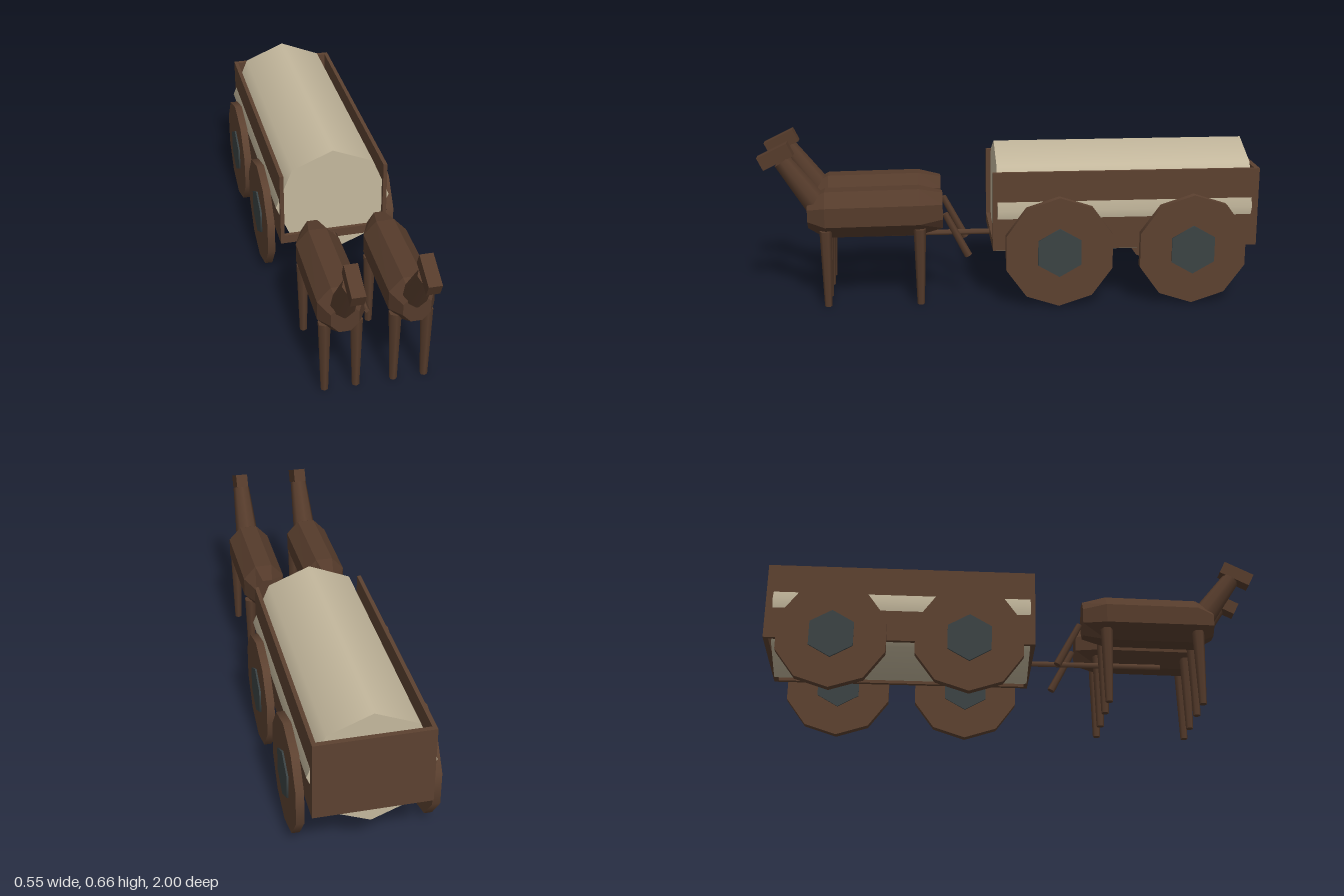
import * as THREE from 'three';

const wood = new THREE.MeshStandardMaterial({ name: 'brown wood', color: 0x5c4130 });
const hide = new THREE.MeshStandardMaterial({ name: 'dark brown hide', color: 0x553b2b });
const hideFlat = hide; // body uses unshared vertices, so it is faceted
const canvas = new THREE.MeshStandardMaterial({ name: 'canvas', color: 0xc4b89d });
const iron = new THREE.MeshStandardMaterial({ name: 'iron', color: 0x3b4344 });

function add(parent, name, geometry, material, x = 0, y = 0, z = 0) {
  const mesh = new THREE.Mesh(geometry, material);
  mesh.name = name;
  mesh.position.set(x, y, z);
  parent.add(mesh);
  return mesh;
}

// Tapered rod between two points in the x = 0 plane, given as [y, z]
function rod(parent, name, material, [y0, z0], [y1, z1], r0, r1, sides) {
  const a = new THREE.Vector3(0, y0, z0), b = new THREE.Vector3(0, y1, z1);
  const dir = b.clone().sub(a);
  const mesh = add(parent, name, new THREE.CylinderGeometry(r1, r0, dir.length(), sides), material);
  mesh.position.copy(a).add(b).multiplyScalar(0.5);
  mesh.quaternion.setFromUnitVectors(new THREE.Vector3(0, 1, 0), dir.normalize());
  return mesh;
}

// Faceted barrel lofted through octagonal rings: [z, half width, bottom, top]
function bodyGeometry() {
  const rings = [
    [0.272, 0.048, 0.305, 0.453],
    [0.365, 0.086, 0.283, 0.473],
    [0.74, 0.088, 0.28, 0.468],
    [0.81, 0.053, 0.318, 0.432],
  ].map(([z, w, low, high]) => {
    const points = [];
    for (let i = 0; i < 8; i++) {
      const t = (i + 0.5) * Math.PI / 4, k = 1 / Math.cos(Math.PI / 8);
      points.push([Math.cos(t) * k * w, (low + high) / 2 + Math.sin(t) * k * (high - low) / 2, z]);
    }
    return points;
  });
  const out = [];
  const tri = (a, b, c) => out.push(...a, ...b, ...c);
  for (let r = 0; r < 3; r++) {
    for (let i = 0; i < 8; i++) {
      const j = (i + 1) % 8, A = rings[r], B = rings[r + 1];
      tri(A[i], A[j], B[j]);
      tri(A[i], B[j], B[i]);
    }
  }
  for (let i = 1; i < 7; i++) {
    tri(rings[3][0], rings[3][i], rings[3][i + 1]);
    tri(rings[0][0], rings[0][i + 1], rings[0][i]);
  }
  const g = new THREE.BufferGeometry();
  g.setAttribute('position', new THREE.Float32BufferAttribute(out, 3));
  g.computeVertexNormals();
  return g;
}

function horse(name, x) {
  const g = new THREE.Group();
  g.name = name;
  g.position.x = x;
  add(g, 'body', bodyGeometry(), hideFlat);
  rod(g, 'neck', hide, [0.408, 0.772], [0.59, 0.903], 0.05, 0.036, 8);
  const head = add(g, 'head', new THREE.BoxGeometry(0.051, 0.056, 0.132), hide, 0, 0.611, 0.928);
  head.rotation.x = 0.45;
  rod(g, 'tail', hide, [0.36, 0.262], [0.18, 0.168], 0.013, 0.016, 6);
  for (const sx of [-1, 1]) {
    for (const z of [0.365, 0.738]) {
      add(g, z > 0.5 ? 'frontLeg' : 'hindLeg',
        new THREE.CylinderGeometry(0.025, 0.015, 0.315, 6), hide, sx * 0.061, 0.1575, z);
    }
  }
  return g;
}

// Upright disc with its axle along x and a corner at the top
function disc(parent, name, radius, width, sides, material, x, y, z) {
  const geo = new THREE.CylinderGeometry(radius, radius, width, sides);
  geo.rotateY(Math.PI / 2).rotateZ(Math.PI / 2);
  return add(parent, name, geo, material, x, y, z);
}

export function createModel() {
  const model = new THREE.Group();
  model.name = 'horseWagon';

  // Wagon box: tall sides and back, low front board, open below
  const wagon = new THREE.Group();
  wagon.name = 'wagon';
  model.add(wagon);
  const back = -1, front = 0.074, length = front - back, mid = (front + back) / 2;
  for (const s of [-1, 1]) {
    add(wagon, s > 0 ? 'leftWall' : 'rightWall',
      new THREE.BoxGeometry(0.016, 0.32, length), wood, s * 0.2155, 0.385, mid);
  }
  add(wagon, 'backWall', new THREE.BoxGeometry(0.416, 0.32, 0.02), wood, 0, 0.385, back + 0.01);
  add(wagon, 'frontBoard', new THREE.BoxGeometry(0.416, 0.037, 0.016), wood, 0, 0.2435, front - 0.008);

  // Eight-sided canvas roll, bulging through the sides
  const roll = new THREE.CylinderGeometry(0.238, 0.238, 1.027, 8);
  roll.rotateX(Math.PI / 2);
  add(wagon, 'canvasCover', roll, canvas, 0, 0.39, -0.4585);

  // Wheels with iron hubs
  for (const s of [-1, 1]) {
    for (const z of [-0.19, -0.73]) {
      disc(wagon, 'wheel', 0.225, 0.031, 10, wood, s * 0.2545, 0.225, z);
      disc(wagon, 'hub', 0.1, 0.043, 6, iron, s * 0.2555, 0.225, z);
    }
  }

  // Draught pole
  rod(model, 'pole', wood, [0.241, 0.065], [0.241, 0.612], 0.012, 0.012, 4);

  model.add(horse('leftHorse', 0.135), horse('rightHorse', -0.135));
  return model;
}
